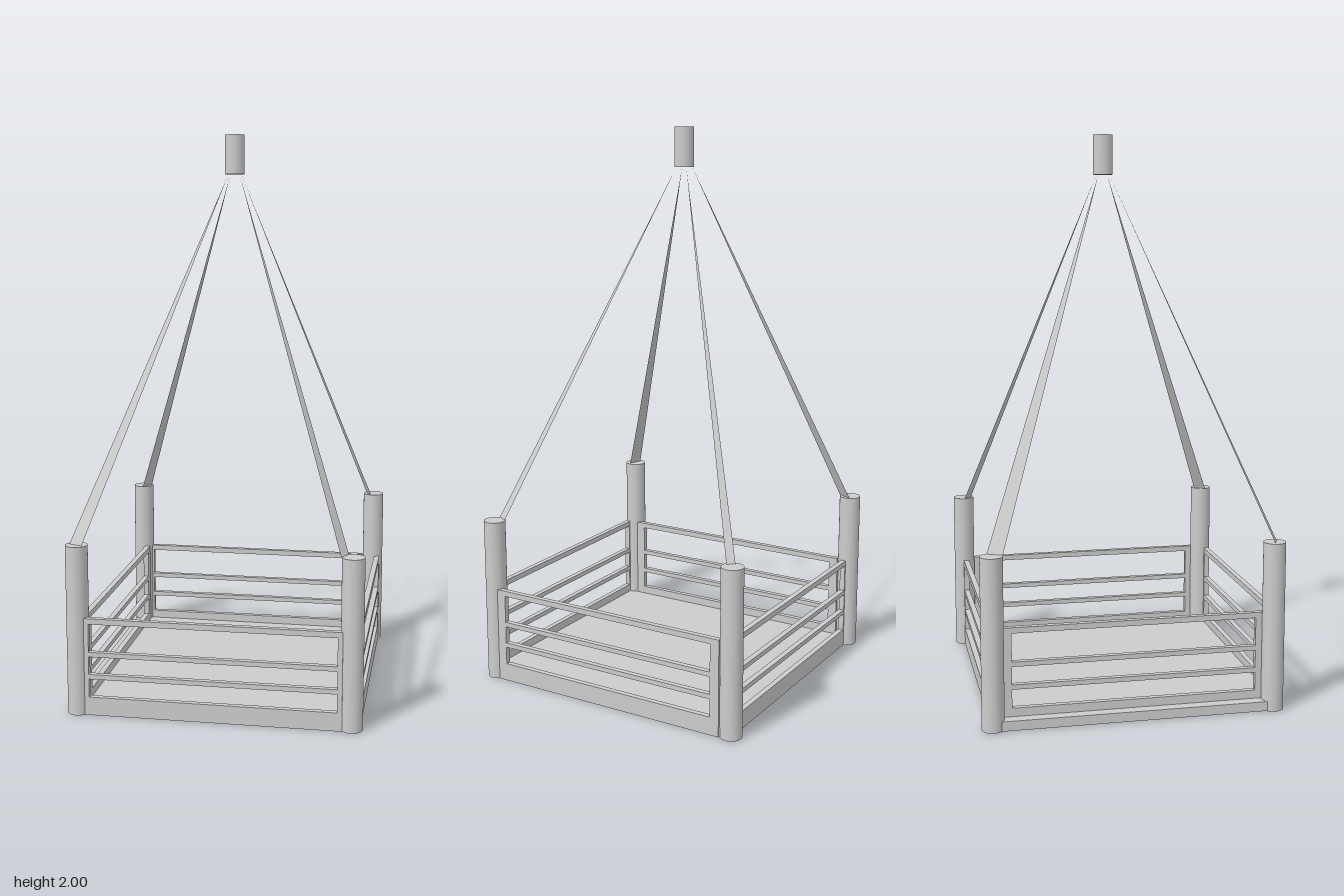
import * as THREE from 'three';

const material = new THREE.MeshStandardMaterial({ color: 0xcccccc });
const ropeMaterial = new THREE.MeshStandardMaterial({ color: 0xcccccc, side: THREE.DoubleSide });

function addMesh(parent, name, geometry, x = 0, y = 0, z = 0, mat = material) {
  const mesh = new THREE.Mesh(geometry, mat);
  mesh.name = name;
  mesh.position.set(x, y, z);
  parent.add(mesh);
  return mesh;
}

// Railing panel from a to b, with three openings between its bars
function railingGeometry(a, b, postWidth) {
  const rect = (target, x0, y0, x1, y1) => {
    target.moveTo(x0, y0);
    target.lineTo(x1, y0);
    target.lineTo(x1, y1);
    target.lineTo(x0, y1);
    target.closePath();
    return target;
  };
  const shape = rect(new THREE.Shape(), a, 0, b, 0.347);
  for (const [low, high] of [[0.065, 0.13], [0.147, 0.21], [0.227, 0.327]]) {
    shape.holes.push(rect(new THREE.Path(), a + postWidth, low, b - postWidth, high));
  }
  return new THREE.ExtrudeGeometry(shape, { depth: 0.02, bevelEnabled: false });
}

// Flat tapering stay: two lower corners and one tip
function stayGeometry(p, q, tip) {
  const geometry = new THREE.BufferGeometry().setFromPoints(
    [p, q, tip].map(v => new THREE.Vector3(...v)));
  geometry.computeVertexNormals();
  return geometry;
}

export function createModel() {
  const model = new THREE.Group();
  model.name = 'hangingPlatform';

  // Floor
  addMesh(model, 'floor', new THREE.BoxGeometry(1.008, 0.034, 1.012), -0.002, 0.018, 0.01);

  // Railings on the four sides
  const longRail = railingGeometry(-0.45, 0.445, 0.017);
  const sideRail = railingGeometry(-0.46, 0.465, 0.034);
  addMesh(model, 'frontRailing', longRail, 0, 0, 0.498);
  addMesh(model, 'backRailing', longRail, 0, 0, -0.499);
  addMesh(model, 'leftRailing', sideRail, 0.504, 0, 0).rotation.y = -Math.PI / 2;
  addMesh(model, 'rightRailing', sideRail, -0.446, 0, 0).rotation.y = -Math.PI / 2;

  // Corner posts
  const post = new THREE.CylinderGeometry(0.039, 0.039, 0.6, 32);
  for (const x of [-0.477, 0.475]) {
    for (const z of [-0.493, 0.491]) addMesh(model, 'cornerPost', post, x, 0.3, z);
  }

  // Hub where the stays meet
  const hubX = -0.012, hubZ = -0.021;
  addMesh(model, 'topHub', new THREE.CylinderGeometry(0.035, 0.035, 0.14, 32), hubX, 1.93, hubZ);

  // Stays from the posts up to the hub
  const stays = [
    [[-0.503, 0.485], [-0.455, 0.504]],
    [[-0.472, -0.453], [-0.446, -0.504]],
    [[0.449, -0.49], [0.466, -0.465]],
    [[0.456, 0.459], [0.434, 0.499]],
  ];
  for (const [p, q] of stays) {
    const tip = [hubX + Math.sign(p[0]) * 0.02, 1.86, hubZ + Math.sign(p[1]) * 0.02];
    const geometry = stayGeometry([p[0], 0.6, p[1]], [q[0], 0.6, q[1]], tip);
    addMesh(model, 'stay', geometry, 0, 0, 0, ropeMaterial);
  }

  return model;
}
